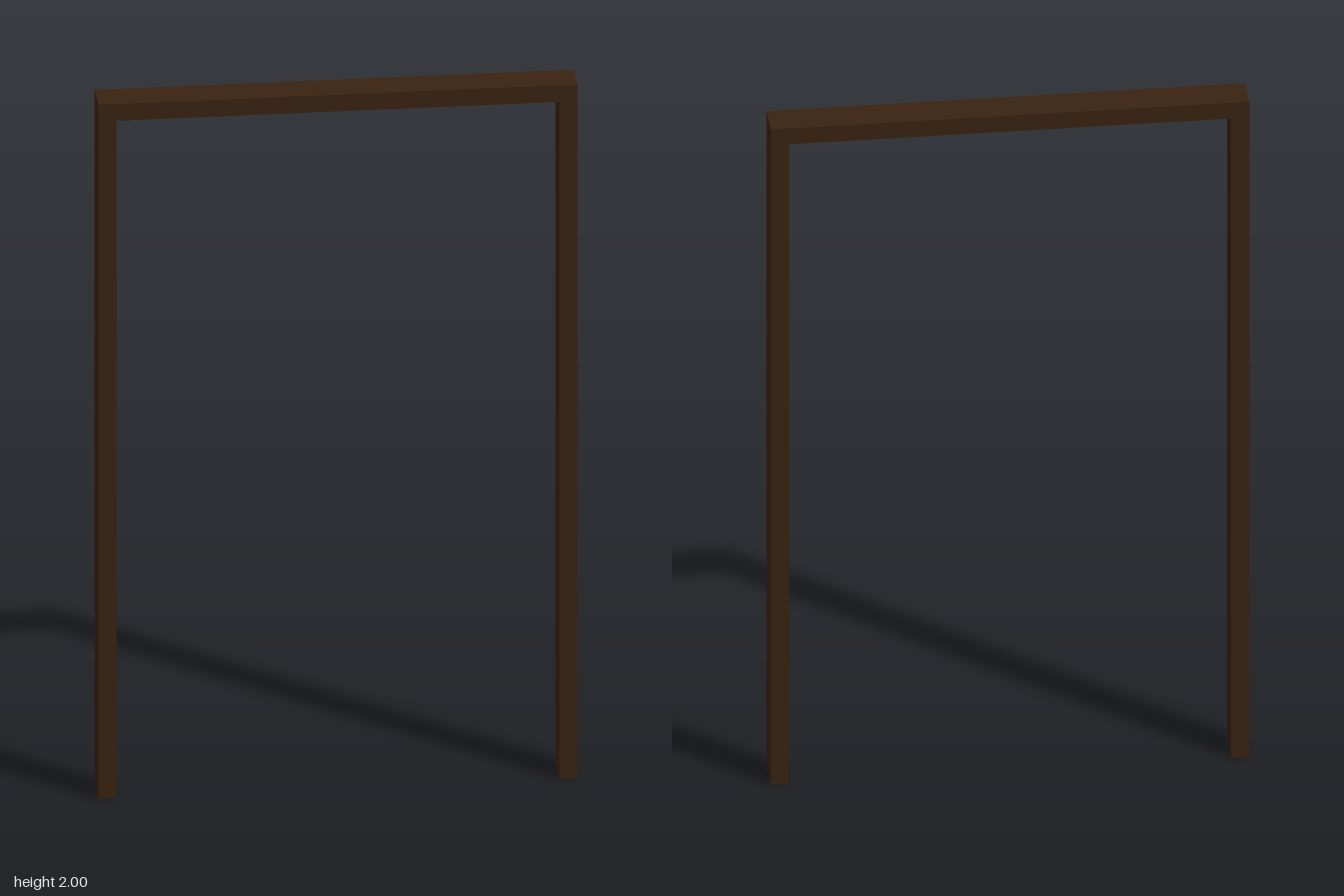
import * as THREE from 'three';

const W = 1.266, H = 2, D = 0.097, T = 0.048; // outer width, height, depth, board thickness

export function createModel() {
  const group = new THREE.Group();
  group.name = 'doorFrame';
  const material = new THREE.MeshStandardMaterial({ color: 0x3a2210 });

  // Adds one board of the frame
  const board = (name, w, h, x, y) => {
    const mesh = new THREE.Mesh(new THREE.BoxGeometry(w, h, D), material);
    mesh.name = name;
    mesh.position.set(x, y, 0);
    group.add(mesh);
  };

  // Upright jambs, mirrored, running the full height
  for (const [name, side] of [['leftJamb', 1], ['rightJamb', -1]]) {
    board(name, T, H, side * (W - T) / 2, H / 2);
  }

  // Head board fitted between the jambs
  board('headJamb', W - 2 * T, T, 0, H - T / 2);

  return group;
}
